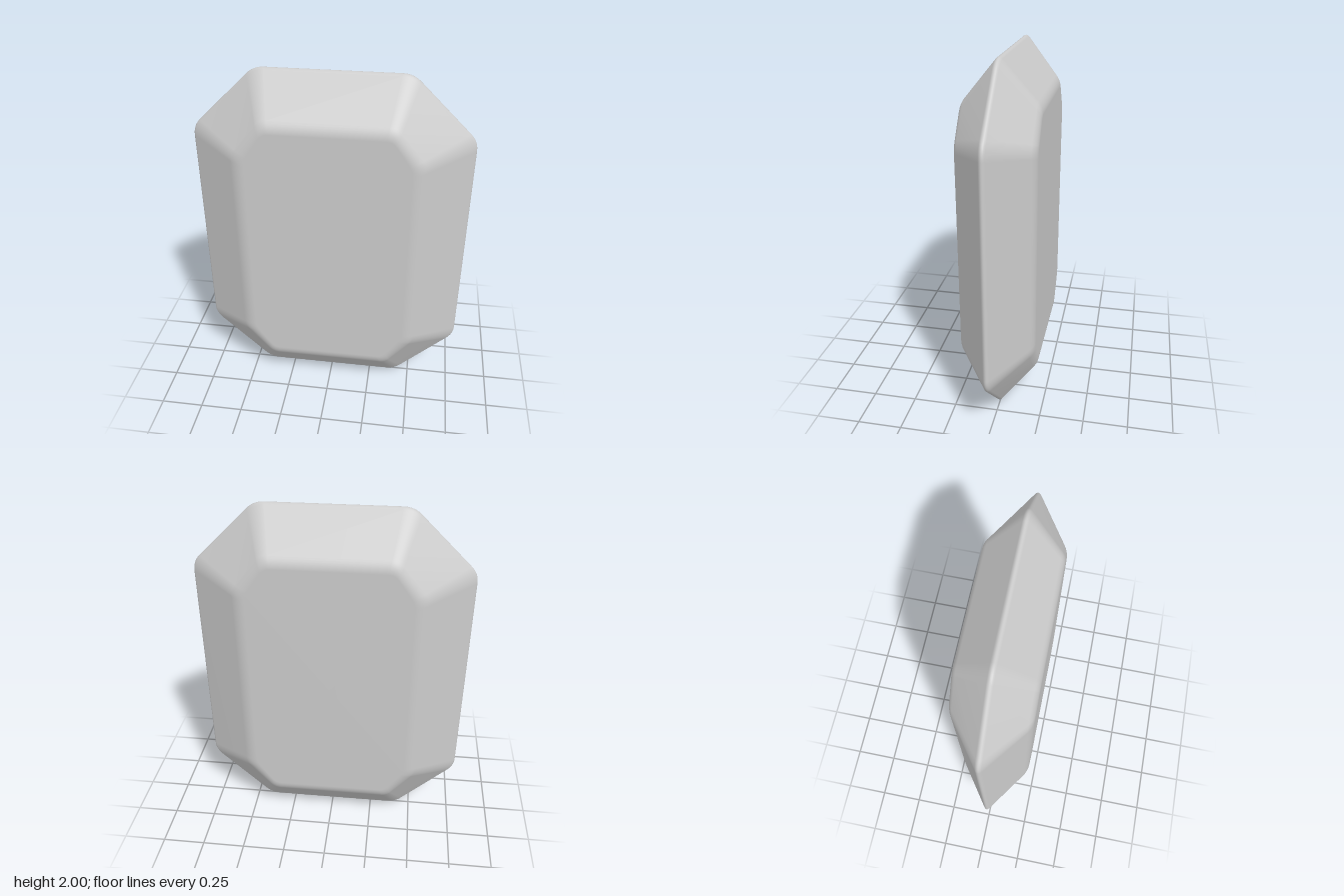
import * as THREE from 'three';

const HALF_DEPTH = 0.213;
const V = (x, y) => new THREE.Vector2(x, y);

// Points along a rounded corner at b, between a and c
const fillet = (a, b, c, n) => new THREE.QuadraticBezierCurve(a, b, c).getPoints(n);

// Mirror two quarter corners into a counter-clockwise octagon
const octagon = ([lx, ly], [ux, uy]) => [
  V(lx, ly), V(ux, uy), V(-ux, uy), V(-lx, ly),
  V(-lx, -ly), V(-ux, -uy), V(ux, -uy), V(lx, -ly),
];
const girdle = octagon([0.78, 0.66], [0.415, 1.012]);
const table = octagon([0.485, 0.575], [0.345, 0.755]);

// Rounded octagon, s = 0 at the girdle and s = 1 at the table edge
function ring(s) {
  const corners = girdle.map((p, i) => p.clone().lerp(table[i], s));
  const cut = 0.055 - 0.02 * s;
  return corners.flatMap((p, i) => {
    const toward = (q) => p.clone().add(q.clone().sub(p).setLength(cut));
    return fillet(toward(corners[(i + 7) % 8]), p, toward(corners[(i + 1) % 8]), 6);
  });
}

function gemGeometry() {
  // Profile from back table to front table: x is s, y is depth
  const frontEdge = fillet(V(0.88, 0.88 * HALF_DEPTH), V(1, HALF_DEPTH), V(1.14, HALF_DEPTH), 6);
  const backEdge = frontEdge.map((p) => V(p.x, -p.y)).reverse();
  const girdleEdge = fillet(V(0.08, -0.08 * HALF_DEPTH), V(0, 0), V(0.08, 0.08 * HALF_DEPTH), 6);
  const profile = [...backEdge, ...girdleEdge, ...frontEdge];

  const positions = [];
  const index = [];
  for (const { x: s, y: z } of profile) {
    for (const p of ring(s)) positions.push(p.x, p.y + 1, z);
  }
  const n = ring(0).length;
  const rows = profile.length;
  const back = n * rows;
  const front = back + 1;
  positions.push(0, 1, -HALF_DEPTH, 0, 1, HALF_DEPTH);

  for (let j = 0; j < n; j++) {
    const k = (j + 1) % n;
    for (let i = 0; i < rows - 1; i++) {
      const a = i * n, b = a + n;
      index.push(a + j, a + k, b + k, a + j, b + k, b + j);
    }
    // Flat tables
    index.push(back, k, j);
    index.push(front, (rows - 1) * n + j, (rows - 1) * n + k);
  }
  const geometry = new THREE.BufferGeometry();
  geometry.setAttribute('position', new THREE.Float32BufferAttribute(positions, 3));
  geometry.setIndex(index);
  geometry.computeVertexNormals();
  return geometry;
}

export function createModel() {
  const group = new THREE.Group();
  group.name = 'gem';
  const gem = new THREE.Mesh(gemGeometry(), new THREE.MeshStandardMaterial({ color: 0xcccccc }));
  gem.name = 'cutStone';
  group.add(gem);
  return group;
}
